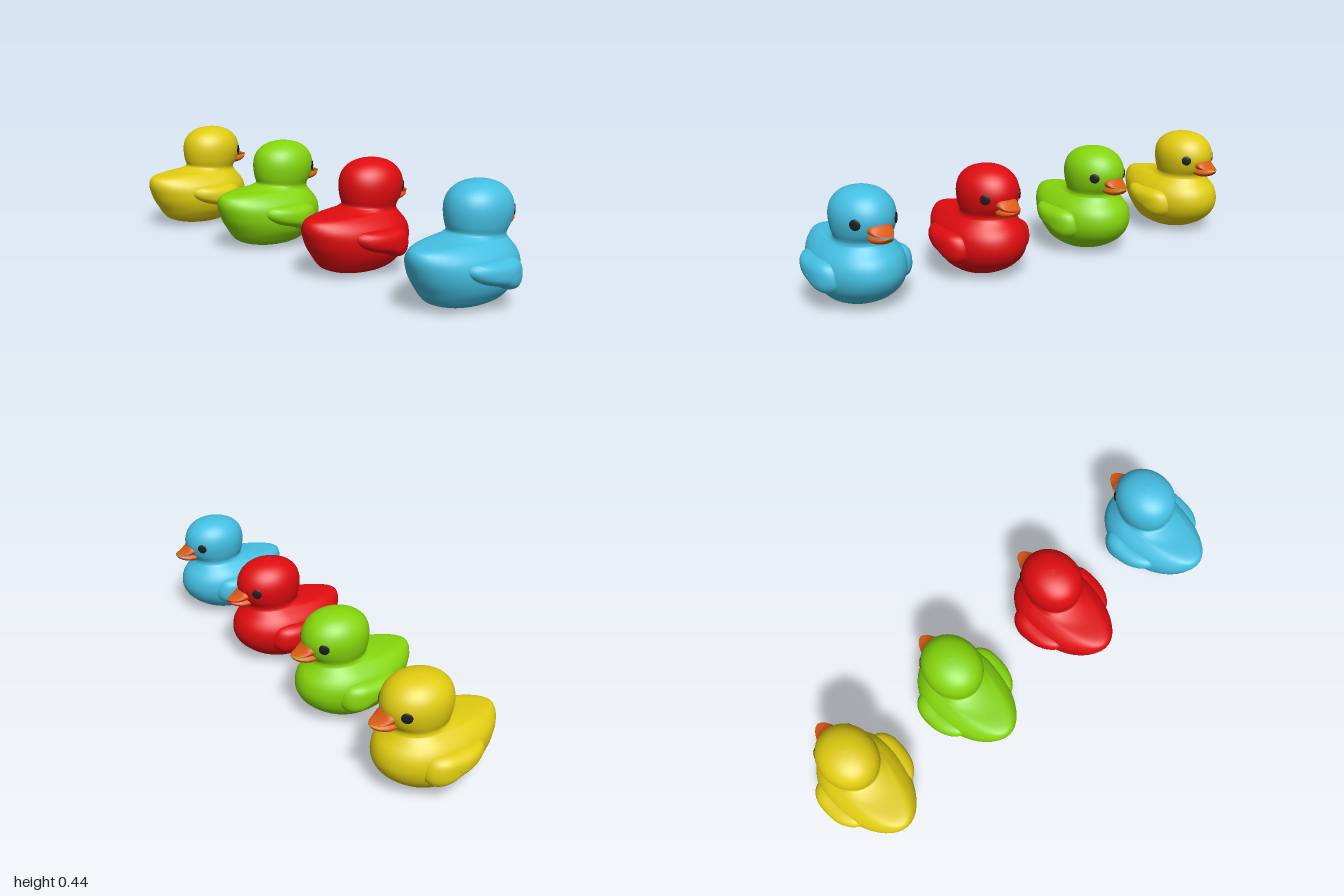
import * as THREE from 'three';

const material = (name, color, extra = {}) => new THREE.MeshStandardMaterial({ name, color, ...extra });

// Skin a list of closed rings (equal point counts) into one smooth surface
function loft(rings) {
  const n = rings[0].length, pos = [], index = [];
  rings.forEach(r => r.forEach(p => pos.push(...p)));
  for (let i = 0; i < rings.length - 1; i++) {
    for (let j = 0; j < n; j++) {
      const k = (j + 1) % n, a = i * n + j, b = i * n + k;
      index.push(a, a + n, b, b, a + n, b + n);
    }
  }
  const g = new THREE.BufferGeometry();
  g.setAttribute('position', new THREE.Float32BufferAttribute(pos, 3));
  g.setIndex(index);
  g.computeVertexNormals();
  return g;
}

const ringOf = (n, fn) => Array.from({ length: n }, (_, j) => fn(j / n * Math.PI * 2));

// Body, neck and head: egg-shaped slices [y, front z, back z, half width, z of widest point]
function bodyGeometry() {
  const slices = [
    [0, -0.01, 0.01, 0.005, 0], [0.007, -0.085, 0.095, 0.065, -0.01], [0.028, -0.14, 0.16, 0.108, -0.02],
    [0.05, -0.175, 0.187, 0.128, -0.03], [0.08, -0.206, 0.207, 0.148, -0.03], [0.12, -0.224, 0.233, 0.16, -0.03],
    [0.16, -0.222, 0.25, 0.16, -0.03], [0.19, -0.209, 0.259, 0.15, -0.03], [0.214, -0.187, 0.258, 0.132, -0.04],
    [0.23, -0.175, 0.246, 0.114, -0.05], [0.238, -0.171, 0.205, 0.105, -0.055], [0.242, -0.17, 0.13, 0.102, -0.06],
    [0.25, -0.17, 0.08, 0.1, -0.062], [0.26, -0.174, 0.054, 0.101, -0.065], [0.285, -0.191, 0.06, 0.109, -0.065],
    [0.325, -0.203, 0.065, 0.115, -0.067], [0.36, -0.198, 0.062, 0.112, -0.067], [0.39, -0.182, 0.049, 0.099, -0.067],
    [0.415, -0.153, 0.02, 0.074, -0.067], [0.43, -0.112, -0.022, 0.04, -0.067], [0.435, -0.068, -0.066, 0.001, -0.067],
  ];
  const spline = f => new THREE.CatmullRomCurve3(slices.map(f), false, 'catmullrom', 0.5);
  const ends = spline(s => new THREE.Vector3(s[1], s[0], s[2]));
  const widths = spline(s => new THREE.Vector3(s[3], s[0], s[4]));
  const rings = [], steps = (slices.length - 1) * 3;
  for (let i = 0; i <= steps; i++) {
    const e = ends.getPoint(i / steps), w = widths.getPoint(i / steps);
    rings.push(ringOf(48, a => {
      const s = Math.sin(a);
      return [w.x * Math.cos(a), Math.max(0, e.y), w.z + s * (s > 0 ? e.z - w.z : w.z - e.x)];
    }));
  }
  return loft(rings);
}

// Wing: a puffy dome over a teardrop outline of [z, y] points
function wingGeometry(side) {
  const outline = new THREE.CatmullRomCurve3([
    [0.13, 0.165], [0.115, 0.14], [0.07, 0.115], [0, 0.095], [-0.05, 0.075], [-0.095, 0.075], [-0.12, 0.1],
    [-0.122, 0.14], [-0.105, 0.173], [-0.07, 0.187], [0, 0.189], [0.08, 0.19], [0.115, 0.184],
  ].map(([z, y]) => new THREE.Vector3(0, y, z)), true).getSpacedPoints(44).slice(0, -1);
  if (side < 0) outline.reverse();
  const rings = [];
  for (let i = 0; i <= 12; i++) {
    const s = Math.sin(Math.max(0.02, i / 12) * Math.PI / 2);
    const puff = 0.052 * Math.sqrt(Math.max(0, 1 - s ** 3));
    rings.push(outline.map(p => {
      const z = -0.02 + (p.z + 0.02) * s, y = 0.135 + (p.y - 0.135) * s;
      return [side * (0.145 - 1.1 * (z + 0.02) ** 2 + puff), y, z];
    }));
  }
  return loft(rings);
}

// Bill half: elliptical slices [z, bottom, top, half width] running forward
const billGeometry = slices => loft(slices.map(([z, lo, hi, w]) =>
  ringOf(24, a => [w * Math.cos(a), (lo + hi) / 2 + (hi - lo) / 2 * Math.sin(a), z])));

export function createModel() {
  const model = new THREE.Group();
  model.name = 'ducks';
  const orange = material('orange bill', 0xdc5a14);
  const black = material('black eyes', 0x1c1c1c);

  const body = bodyGeometry();
  const wings = { leftWing: wingGeometry(1), rightWing: wingGeometry(-1) };
  const upperBill = billGeometry([
    [-0.16, 0.28, 0.33, 0.045], [-0.195, 0.28, 0.327, 0.047], [-0.208, 0.282, 0.314, 0.043],
    [-0.222, 0.284, 0.301, 0.037], [-0.24, 0.286, 0.294, 0.027], [-0.253, 0.287, 0.292, 0.015], [-0.259, 0.289, 0.29, 0.001],
  ]);
  const lowerBill = billGeometry([
    [-0.15, 0.256, 0.292, 0.04], [-0.195, 0.253, 0.291, 0.043], [-0.215, 0.256, 0.289, 0.038],
    [-0.235, 0.263, 0.287, 0.028], [-0.25, 0.273, 0.286, 0.016], [-0.257, 0.283, 0.285, 0.001],
  ]);
  const lip = new THREE.CylinderGeometry(1, 1, 0.005, 32).scale(0.034, 1, 0.048).translate(0, 0.2875, -0.21);
  const eye = new THREE.SphereGeometry(0.02, 20, 12).scale(1, 1, 0.22);

  const ducks = [
    ['yellow', 0xe0cc10, -0.802], ['green', 0x86d60c, -0.273],
    ['red', 0xe00c10, 0.265], ['blue', 0x44bfe2, 0.802],
  ];
  for (const [name, color, x] of ducks) {
    const skin = material(name, color);
    const duck = new THREE.Group();
    duck.name = name + 'Duck';
    duck.position.x = x;
    const add = (part, geometry, mat) => {
      const mesh = new THREE.Mesh(geometry, mat);
      mesh.name = part;
      duck.add(mesh);
      return mesh;
    };
    add('bodyAndHead', body, skin);
    for (const part in wings) add(part, wings[part], skin);
    add('upperBill', upperBill, orange);
    add('lowerBill', lowerBill, orange);
    add('mouthLine', lip, skin);
    // Eyes lie flat against the front sides of the head
    for (const side of [1, -1]) {
      const e = add(side > 0 ? 'leftEye' : 'rightEye', eye, black);
      e.position.set(side * 0.08, 0.326, -0.164);
      e.rotation.y = side * (Math.PI / 2 + 0.72);
    }
    model.add(duck);
  }
  return model;
}
